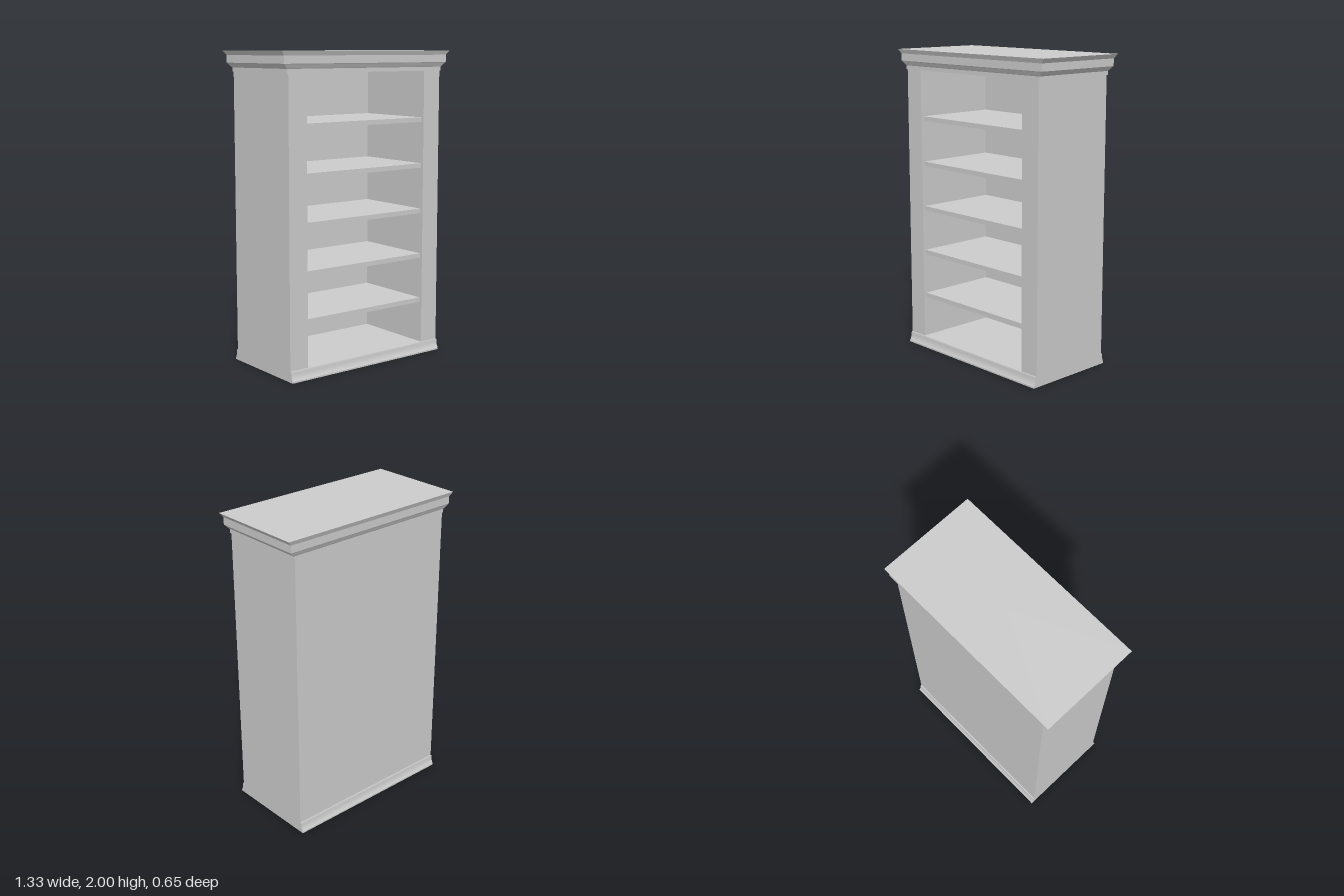
import * as THREE from 'three';
import { toCreasedNormals } from 'three/addons/utils/BufferGeometryUtils.js';

const HALF_W = 0.6, HALF_D = 0.298;
const OPEN_W = 0.467, FLOOR = 0.07, OPEN_TOP = 1.87, BACK_T = 0.025;

export function createModel() {
  const model = new THREE.Group();
  const mat = new THREE.MeshStandardMaterial({ color: 0xcccccc });

  const add = (name, geometry) => {
    const mesh = new THREE.Mesh(geometry, mat);
    mesh.name = name;
    model.add(mesh);
    return mesh;
  };
  // Box given by its minimum and maximum corners
  const box = (name, [x0, y0, z0], [x1, y1, z1]) => {
    const mesh = add(name, new THREE.BoxGeometry(x1 - x0, y1 - y0, z1 - z0));
    mesh.position.set((x0 + x1) / 2, (y0 + y1) / 2, (z0 + z1) / 2);
  };

  // Thick side walls and thin back panel
  box('leftSide', [OPEN_W, FLOOR, -HALF_D], [HALF_W, OPEN_TOP, HALF_D]);
  box('rightSide', [-HALF_W, FLOOR, -HALF_D], [-OPEN_W, OPEN_TOP, HALF_D]);
  box('backPanel', [-OPEN_W, FLOOR, -HALF_D], [OPEN_W, OPEN_TOP, -HALF_D + BACK_T]);

  // Five shelves, set back a little from the front
  for (let i = 0; i < 5; i++) {
    const top = 0.37 + i * 0.3;
    box('shelf' + (i + 1), [-OPEN_W, top - 0.03, -HALF_D + BACK_T], [OPEN_W, top, HALF_D - 0.02]);
  }

  // Base with a coved moulding at front and back, flush at the ends
  const s = new THREE.Shape();
  s.moveTo(-0.322, 0);
  s.lineTo(0.322, 0);
  s.lineTo(0.322, 0.01);
  s.quadraticCurveTo(0.308, 0.03, 0.307, 0.062);
  s.lineTo(0.305, FLOOR);
  s.lineTo(-0.305, FLOOR);
  s.lineTo(-0.307, 0.062);
  s.quadraticCurveTo(-0.308, 0.03, -0.322, 0.01);
  const base = new THREE.ExtrudeGeometry(s, { depth: 2 * HALF_W, bevelEnabled: false, curveSegments: 8 });
  base.translate(0, 0, -HALF_W).rotateY(Math.PI / 2);
  add('base', toCreasedNormals(base, 0.4));

  // Crown moulding: four-sided stepped profile [scale of the body, height]
  const profile = [
    [0, OPEN_TOP], [1.015, OPEN_TOP], [1.015, 1.895], [1.025, 1.9], [1.057, 1.92],
    [1.067, 1.925], [1.067, 1.972], [1.105, 2], [0, 2],
  ].map(([r, y]) => new THREE.Vector2(r * Math.SQRT2, y));
  const crown = new THREE.LatheGeometry(profile, 4, Math.PI / 4).toNonIndexed();
  crown.scale(HALF_W, 1, HALF_D * 0.99);
  crown.computeVertexNormals();
  add('crown', crown);

  return model;
}
